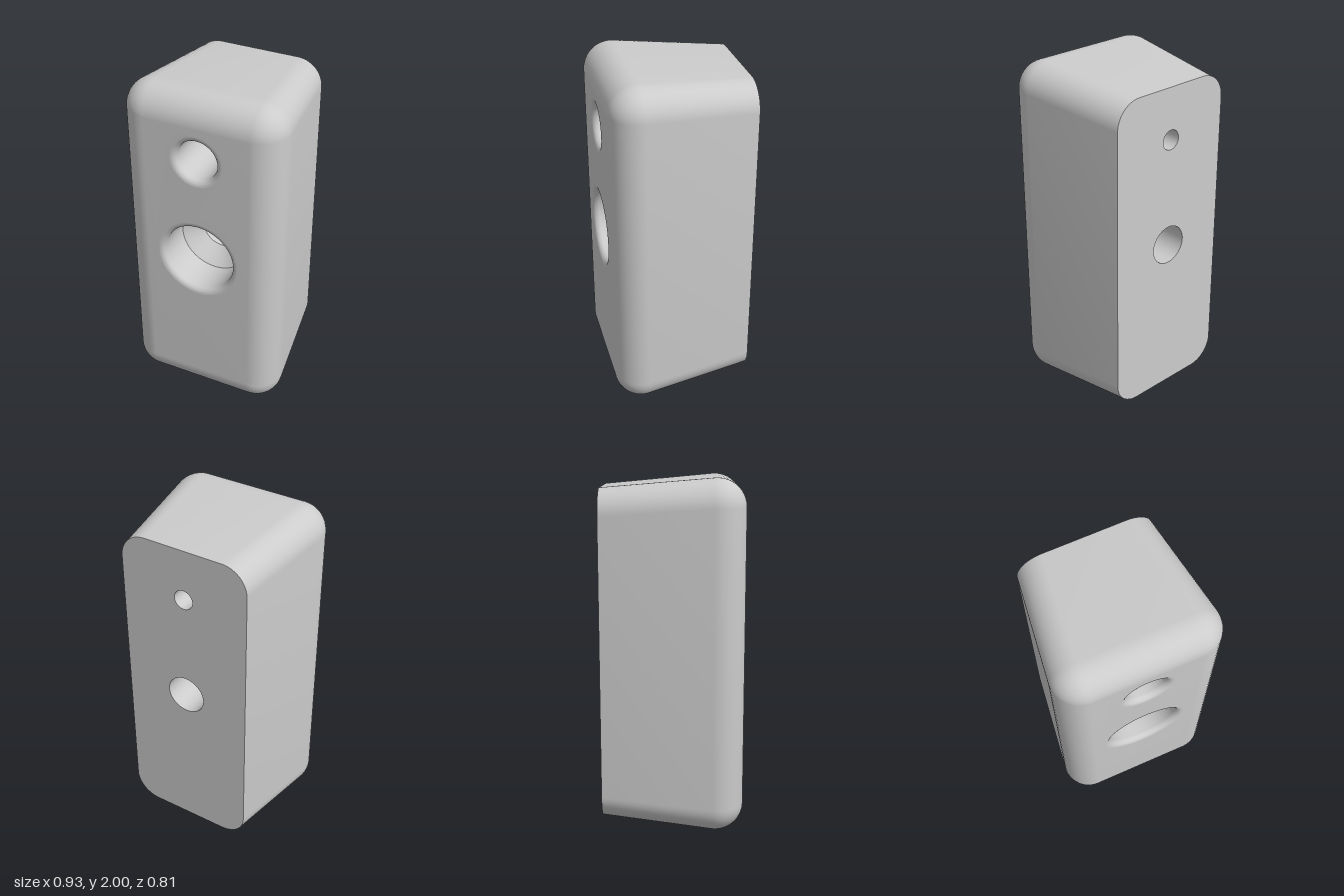
import * as THREE from 'three';
import { mergeGeometries, toCreasedNormals } from 'three/addons/utils/BufferGeometryUtils.js';

const FRONT = 0.403, BACK = -0.403, MID_Y = 1;
const CORNER_STEPS = 12, EDGE_STEPS = 14;

// Stepped holes: mouth fillet, straight bore, 45 degree countersink, through hole
const HOLES = [
  { name: 'upperScrewHole', y: 1.644, bore: 0.117, inner: 0.057, fillet: 0.035, seat: 0.1 },
  { name: 'centreBoltHole', y: 1.004, bore: 0.208, inner: 0.114, fillet: 0.035, seat: 0.18 },
];

// Rounded rectangle, counter-clockwise, from corner centres (cx, cy) and radius r
function outline(cx, cy, r, steps = CORNER_STEPS) {
  const points = [];
  [[1, 1], [-1, 1], [-1, -1], [1, -1]].forEach(([sx, sy], q) => {
    for (let i = 0; i <= steps; i++) {
      const a = (q + (steps ? i / steps : 0)) * Math.PI / 2;
      points.push(new THREE.Vector2(sx * cx + r * Math.cos(a), MID_Y + sy * cy + r * Math.sin(a)));
    }
  });
  return points;
}

// Flat end face pierced by the holes
function endFace(points, z, radiusOf) {
  const shape = new THREE.Shape(points);
  for (const h of HOLES) {
    shape.holes.push(new THREE.Path().absarc(0, h.y, radiusOf(h), 0, Math.PI * 2, true));
  }
  const geo = new THREE.ShapeGeometry(shape, 32);
  if (z < 0) geo.rotateY(Math.PI);
  return geo.translate(0, 0, z);
}

// Tapered sides and rounded front edge, lofted from back to front
function sideWalls(backRing) {
  const r = 0.16, cx = 0.307, cy = 0.84, start = -0.11;
  const rings = [{ points: backRing, z: BACK }];
  for (let i = 0; i <= EDGE_STEPS; i++) {
    const a = start + (Math.PI / 2 - start) * i / EDGE_STEPS;
    rings.push({ points: outline(cx, cy, r * Math.cos(a)), z: FRONT - r + r * Math.sin(a) });
  }
  const n = backRing.length, pos = [], index = [];
  rings.forEach(({ points, z }, i) => {
    points.forEach((p, j) => {
      pos.push(p.x, p.y, z);
      if (i === rings.length - 1) return;
      const a = i * n + j, b = i * n + (j + 1) % n;
      index.push(a, b, b + n, a, b + n, a + n);
    });
  });
  const geo = new THREE.BufferGeometry();
  geo.setAttribute('position', new THREE.Float32BufferAttribute(pos, 3));
  geo.setIndex(index);
  geo.computeVertexNormals();
  return geo;
}

// Inward-facing wall of a hole, turned about the z axis
function holeWall({ y, bore, inner, fillet, seat }) {
  const profile = [];
  for (let i = 0; i <= 8; i++) {
    const a = i / 8 * Math.PI / 2;
    profile.push(new THREE.Vector2(bore + fillet * (1 - Math.sin(a)), FRONT - fillet * (1 - Math.cos(a))));
  }
  profile.push(
    new THREE.Vector2(bore, seat),
    new THREE.Vector2(inner, seat - (bore - inner)),
    new THREE.Vector2(inner, BACK),
  );
  const geo = new THREE.LatheGeometry(profile, 64).rotateX(Math.PI / 2).translate(0, y, 0);
  return toCreasedNormals(geo, 0.4);
}

export function createModel() {
  const group = new THREE.Group();
  const material = new THREE.MeshStandardMaterial({ color: 0xcccccc });
  const add = (geometry, name) => {
    const mesh = new THREE.Mesh(geometry, material);
    mesh.name = name;
    group.add(mesh);
  };

  // Block
  const backRing = outline(0.235, 0.793, 0.15);
  const pieces = [
    sideWalls(backRing),
    endFace(outline(0.307, 0.84, 0, 0), FRONT, (h) => h.bore + h.fillet),
    endFace(backRing, BACK, (h) => h.inner),
  ].map((g) => {
    g.deleteAttribute('uv');
    return g.toNonIndexed();
  });
  add(toCreasedNormals(mergeGeometries(pieces), 0.5), 'body');

  // Holes
  for (const h of HOLES) add(holeWall(h), h.name);
  return group;
}
